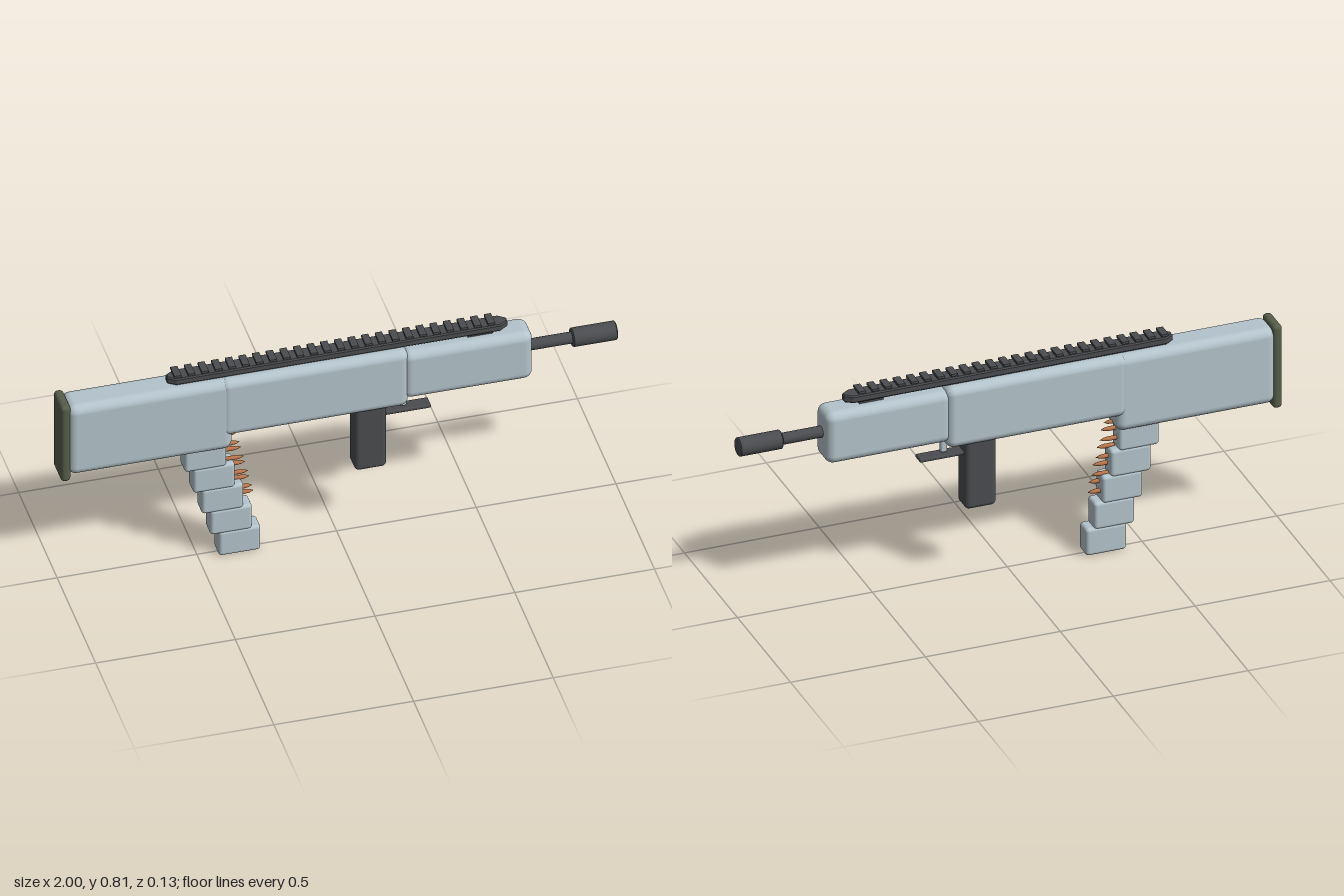
import * as THREE from 'three';
import { RoundedBoxGeometry } from 'three/addons/geometries/RoundedBoxGeometry.js';

export function createModel() {
  const model = new THREE.Group();
  model.name = 'toyBlaster';
  const mat = (name, color) => Object.assign(new THREE.MeshStandardMaterial({ color }), { name });
  const shell = mat('pale blue grey', 0xb4c4cc);
  const dark = mat('charcoal', 0x4a4c4f);
  const olive = mat('olive', 0x565e4a);
  const copper = mat('copper', 0xb8744a);

  const add = (name, geometry, material, x = 0, y = 0, z = 0) => {
    const mesh = new THREE.Mesh(geometry, material);
    mesh.name = name;
    mesh.position.set(x, y, z);
    model.add(mesh);
    return mesh;
  };
  // Rounded block given by its x and y limits and half depth
  const block = (name, x0, x1, y0, y1, halfZ, r, material) =>
    add(name, new RoundedBoxGeometry(x1 - x0, y1 - y0, halfZ * 2, 4, r), material, (x0 + x1) / 2, (y0 + y1) / 2);
  // Turned part along x, profile as [radius, x]
  const turned = (name, profile, material, segments, x, y, z = 0) => {
    const geometry = new THREE.LatheGeometry(profile.map(p => new THREE.Vector2(...p)), segments);
    geometry.rotateZ(-Math.PI / 2);
    return add(name, geometry, material, x, y, z);
  };

  // Body shells and butt pad
  block('rearBody', -0.975, -0.385, 0.475, 0.77, 0.061, 0.032, shell);
  block('middleBody', -0.428, 0.245, 0.535, 0.772, 0.063, 0.03, shell);
  block('frontBody', 0.225, 0.69, 0.56, 0.76, 0.059, 0.032, shell);
  block('buttPad', -1, -0.965, 0.453, 0.778, 0.057, 0.015, olive);

  // Barrel and muzzle
  turned('barrel', [[0, 0], [0.021, 0], [0.021, 0.19], [0, 0.19]], dark, 24, 0.66, 0.67);
  turned('muzzle', [[0, 0], [0.03, 0], [0.034, 0.004], [0.034, 0.004], [0.034, 0.156], [0.034, 0.156],
    [0.03, 0.16], [0, 0.16]], dark, 28, 0.84, 0.67);

  // Top rail with pointed ends
  const outline = new THREE.Shape([
    [-0.605, -0.008], [-0.58, -0.025], [0.58, -0.025], [0.605, -0.008],
    [0.605, 0.008], [0.58, 0.025], [-0.58, 0.025], [-0.605, 0.008],
  ].map(p => new THREE.Vector2(...p)));
  const railGeometry = new THREE.ExtrudeGeometry(outline, {
    depth: 0.018, bevelEnabled: true, bevelSize: 0.004, bevelThickness: 0.005, bevelSegments: 1,
  });
  railGeometry.rotateX(-Math.PI / 2);
  add('rail', railGeometry, dark, 0, 0.777);
  for (const x of [-0.5, 0.51]) {
    add('railMount', new THREE.BoxGeometry(0.09, 0.035, 0.034), dark, x, 0.766);
  }
  const tooth = new THREE.BoxGeometry(0.025, 0.009, 0.056);
  const neck = new THREE.BoxGeometry(0.021, 0.012, 0.04);
  for (let i = 0; i < 24; i++) {
    const x = -0.575 + i * 0.0488;
    add('railTooth', tooth, dark, x, 0.8085);
    add('railToothNeck', neck, dark, x, 0.802);
  }

  // Grip, trigger and trigger guard
  block('grip', 0.055, 0.17, 0.275, 0.56, 0.043, 0.018, dark);
  block('trigger', 0.224, 0.25, 0.5, 0.58, 0.01, 0.009, shell);
  block('triggerGuard', 0.15, 0.332, 0.485, 0.499, 0.024, 0.005, dark);

  // Stepped magazine
  for (let i = 0; i < 5; i++) {
    const x = -0.43 - i * 0.0305, y = i * 0.097;
    block('magazineSegment', x, x + 0.15, y, y + 0.106, 0.035, 0.013, shell);
  }

  // Rounds along the front of the magazine
  const round = [[0, 0], [0.008, 0], [0.008, 0.035], [0.006, 0.05], [0, 0.065]];
  for (let i = 0; i < 9; i++) {
    turned('round', round, copper, 12, -0.36 - i * 0.0075, 0.235 + i * 0.0328, i % 2 ? 0.006 : -0.005);
  }
  return model;
}
